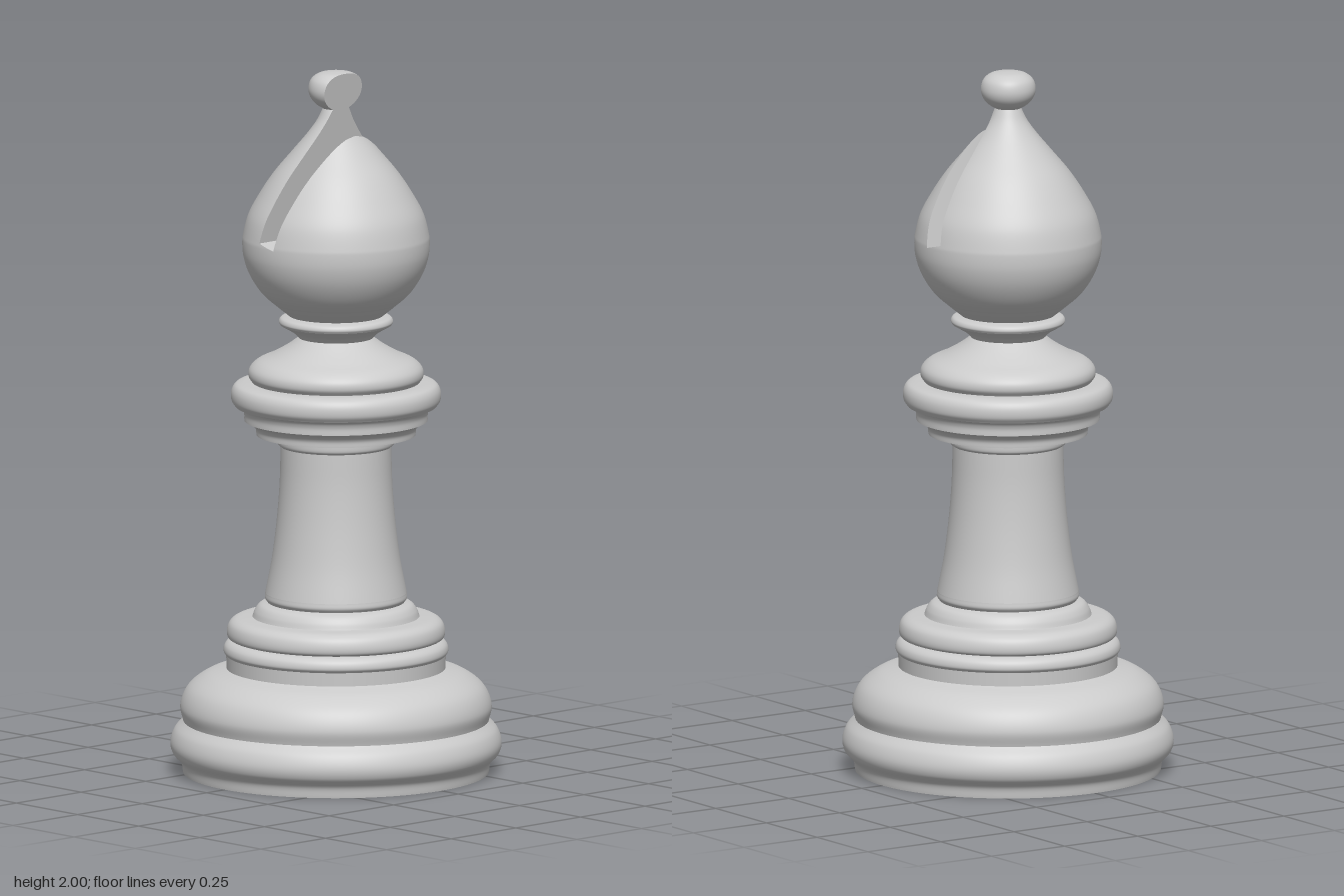
import * as THREE from 'three';

const SEGMENTS = 96;
const material = new THREE.MeshStandardMaterial({ color: 0xcccccc, side: THREE.DoubleSide });

// Smooth profile through [radius, height] points; every control point is kept as a sample
function profile(points, steps = 8) {
  const curve = new THREE.CatmullRomCurve3(
    points.map(([r, y]) => new THREE.Vector3(r, y, 0)), false, 'centripetal');
  return curve.getPoints((points.length - 1) * steps)
    .map(p => new THREE.Vector2(Math.max(p.x, 0), p.y));
}

// Turned parts, bottom to top; each list is smooth, with a sharp edge where lists meet
const turned = {
  foot: [[[0.43, 0], [0.436, 0.03], [0.46, 0.058], [0.466, 0.085], [0.455, 0.12], [0.43, 0.148]],
    [[0.43, 0.148], [0.438, 0.19], [0.418, 0.24], [0.37, 0.277], [0.308, 0.297]]],
  lowerRing: [[[0.308, 0.297], [0.309, 0.335]],
    [[0.309, 0.335], [0.316, 0.345], [0.313, 0.362], [0.302, 0.373], [0.285, 0.378]]],
  upperRing: [[[0.285, 0.378], [0.303, 0.385], [0.307, 0.4], [0.3, 0.425], [0.283, 0.438], [0.235, 0.444]]],
  shaftBase: [[[0.235, 0.444], [0.228, 0.462], [0.215, 0.478], [0.193, 0.486]],
    [[0.193, 0.486], [0.2, 0.497], [0.199, 0.512]]],
  shaft: [[[0.199, 0.512], [0.182, 0.6], [0.171, 0.68], [0.163, 0.76], [0.158, 0.84], [0.156, 0.93]],
    [[0.156, 0.93], [0.164, 0.937], [0.166, 0.96]]],
  collar: [[[0.166, 0.96], [0.224, 0.963]],
    [[0.224, 0.963], [0.226, 0.98], [0.237, 0.994], [0.258, 1.004]],
    [[0.258, 1.004], [0.259, 1.025], [0.267, 1.04], [0.284, 1.046]],
    [[0.284, 1.046], [0.294, 1.062], [0.294, 1.088], [0.284, 1.105], [0.265, 1.112], [0.236, 1.114]]],
  collarTop: [[[0.236, 1.114], [0.246, 1.13], [0.244, 1.15], [0.226, 1.17], [0.18, 1.192],
    [0.14, 1.215], [0.105, 1.24]]],
  neckRing: [[[0.105, 1.24], [0.12, 1.255], [0.157, 1.277]],
    [[0.157, 1.277], [0.161, 1.285], [0.156, 1.296], [0.132, 1.303]]],
};

const headProfile = [[0.132, 1.303], [0.168, 1.332], [0.21, 1.37], [0.245, 1.425], [0.261, 1.475],
  [0.2635, 1.519], [0.2615, 1.534], [0.247, 1.59], [0.215, 1.65], [0.175, 1.71], [0.125, 1.77],
  [0.079, 1.825], [0.053, 1.862], [0.037, 1.895]];
const ballProfile = [[0.037, 1.895], [0.057, 1.908], [0.073, 1.928], [0.078, 1.95], [0.071, 1.976],
  [0.05, 1.993], [0.02, 1.999], [0, 2]];

// Slanted slot: x of its edge at height y, on the narrow (-x) or wide (+x) side
const SLOT_Y = 1.519, CORNER_Y = 1.534, SLOT_X = 0.021;
function slotEdge(y, side) {
  if (y <= SLOT_Y) return SLOT_X;
  if (side > 0) return SLOT_X + (y - SLOT_Y) * 0.19;
  if (y < CORNER_Y) return THREE.MathUtils.mapLinear(y, SLOT_Y, CORNER_Y, SLOT_X, -0.04);
  return -0.04 + (y - CORNER_Y) * 0.167;
}

// Surface from rows of points, rows running upward
function grid(rows, normals) {
  const n = rows[0].length, index = [];
  for (let j = 0; j < rows.length - 1; j++) {
    for (let i = 0; i < n - 1; i++) {
      const a = j * n + i, b = a + n;
      index.push(a, b, a + 1, a + 1, b, b + 1);
    }
  }
  let geometry = new THREE.BufferGeometry().setFromPoints(rows.flat());
  geometry.setIndex(index);
  if (normals) {
    geometry.setAttribute('normal', new THREE.Float32BufferAttribute(normals, 3));
  } else {
    geometry = geometry.toNonIndexed();
    geometry.computeVertexNormals();
  }
  return geometry;
}

// One side of the slotted head: curved skin plus the flat slot wall
function headSide(points, side) {
  const rows = [], normals = [], walls = [];
  points.forEach((p, j) => {
    const edge = slotEdge(p.y, side);
    if (side > 0 && p.y > 1.8251) return;
    const ratio = p.x > 1e-6 ? THREE.MathUtils.clamp(edge / p.x, -1, 1) : 1;
    const open = Math.acos(ratio);
    const [from, to] = side > 0 ? [-open, open] : [open, 2 * Math.PI - open];
    const before = points[Math.max(j - 1, 0)], after = points[Math.min(j + 1, points.length - 1)];
    const slope = after.clone().sub(before).normalize();
    const row = [];
    for (let i = 0; i <= SEGMENTS / 2; i++) {
      const t = THREE.MathUtils.lerp(from, to, i / (SEGMENTS / 2));
      row.push(new THREE.Vector3(p.x * Math.cos(t), p.y, p.x * Math.sin(t)));
      normals.push(slope.y * Math.cos(t), -slope.x, slope.y * Math.sin(t));
    }
    rows.push(row);
    if (p.y >= SLOT_Y - 1e-5) walls.push([row[row.length - 1], row[0]]);
  });
  return { skin: grid(rows, normals), wall: grid(walls) };
}

export function createModel() {
  const model = new THREE.Group();
  model.name = 'chessBishop';
  const add = (geometry, name, parent = model) => {
    const mesh = new THREE.Mesh(geometry, material);
    mesh.name = name;
    parent.add(mesh);
  };

  // Underside
  add(new THREE.CircleGeometry(0.43, SEGMENTS).rotateX(Math.PI / 2), 'underside');

  // Base, shaft and collar
  for (const [name, sections] of Object.entries(turned)) {
    const part = new THREE.Group();
    part.name = name;
    sections.forEach(s => add(new THREE.LatheGeometry(profile(s), SEGMENTS), name + 'Surface', part));
    model.add(part);
  }

  // Slotted head
  const head = new THREE.Group();
  head.name = 'head';
  for (const [side, label] of [[1, 'left'], [-1, 'right']]) {
    const { skin, wall } = headSide(profile(headProfile), side);
    add(skin, label + 'HeadSkin', head);
    add(wall, label + 'SlotWall', head);
  }
  model.add(head);

  // Ball on top, sliced by the slot
  const ball = headSide(profile(ballProfile), -1);
  add(ball.skin, 'topBall');
  add(ball.wall, 'topBallCut');

  return model;
}
